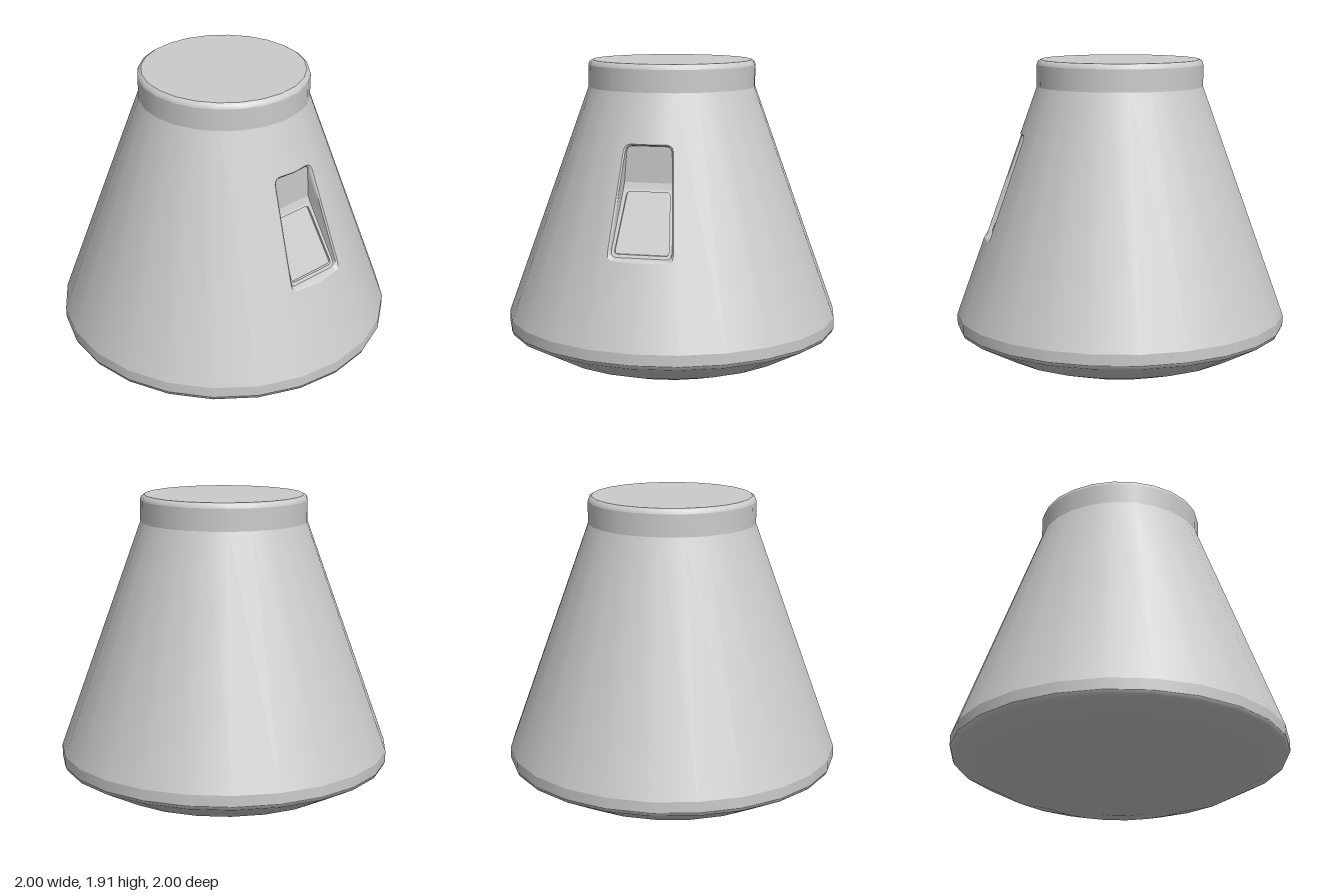
import * as THREE from 'three';
import { toCreasedNormals } from 'three/addons/utils/BufferGeometryUtils.js';

const V = (x, y) => new THREE.Vector2(x, y);
const STEP = Math.PI / 12; // 24-sided hull
const LOW = 0.37, HIGH = 1.75;
const ROWS = [1.215, 1.25]; // crease band across the recess floor

// cone radius, and depth of the two flat front facets
const radius = y => THREE.MathUtils.mapLinear(y, LOW, HIGH, 1, 0.5);
const hullZ = (x, y) => radius(y) - Math.abs(x) * (1 - Math.cos(STEP)) / Math.sin(STEP);

// recess floor: leaning lower part, short bend, upright upper part
function floorZ(x, y) {
  if (y <= ROWS[0]) return THREE.MathUtils.mapLinear(y, 0.86, ROWS[0], 0.775, 0.585);
  return THREE.MathUtils.mapLinear(Math.min(y, ROWS[1]), ROWS[0], ROWS[1], 0.585, 0.572);
}

// right half of a rounded trapezoid, bottom centre to top centre
function halfOutline(yb, yt, wb, wt, r, rows = []) {
  const width = y => THREE.MathUtils.mapLinear(y, yb, yt, wb, wt);
  const corner = (a, b, c) => new THREE.QuadraticBezierCurve(a, b, c).getPoints(5);
  return [
    V(0, yb),
    ...corner(V(wb - r, yb), V(wb, yb), V(width(yb + r), yb + r)),
    ...rows.map(y => V(width(y), y)),
    ...corner(V(width(yt - r), yt - r), V(wt, yt), V(wt - r, yt)),
    V(0, yt),
  ];
}

const mirrored = half => half.map(p => V(-p.x, p.y)).reverse();
const closed = half => [...half, ...mirrored(half).filter(p => p.x < 0)];

// flat outline pushed onto a depth rule
function sheet(points, depth, hole) {
  const shape = new THREE.Shape(points);
  if (hole) shape.holes.push(new THREE.Path(hole));
  const geo = new THREE.ShapeGeometry(shape);
  const p = geo.attributes.position;
  for (let i = 0; i < p.count; i++) p.setZ(i, depth(p.getX(i), p.getY(i)));
  geo.computeVertexNormals();
  return geo;
}

// walls joining closed rings, listed from outer to inner
function loft(rings) {
  const pos = [], index = [], n = rings[0].points.length;
  rings.forEach(({ points, depth }) => points.forEach(p => pos.push(p.x, p.y, depth(p.x, p.y))));
  for (let k = 0; k < rings.length - 1; k++) {
    for (let i = 0; i < n; i++) {
      const a = k * n + i, b = k * n + (i + 1) % n;
      index.push(a, b, b + n, a, b + n, a + n);
    }
  }
  const geo = new THREE.BufferGeometry();
  geo.setAttribute('position', new THREE.Float32BufferAttribute(pos, 3));
  geo.setIndex(index);
  return toCreasedNormals(geo, 0.8);
}

export function createModel() {
  const model = new THREE.Group();
  const material = new THREE.MeshStandardMaterial({ color: 0xcccccc });
  const add = (name, geo, parent = model) => {
    const mesh = new THREE.Mesh(geo, material);
    mesh.name = name;
    parent.add(mesh);
  };
  const lathe = (pts, segments = 24, start = 0, length = Math.PI * 2) =>
    new THREE.LatheGeometry(pts.map(p => V(...p)), segments, start, length);

  // turned body sections
  add('heatShield', lathe([[0, 0], [0.25, 0.018], [0.5, 0.07], [0.75, 0.155], [0.965, 0.27]]));
  add('baseEdge', lathe([[0.965, 0.27], [0.99, 0.283], [1, 0.305]]));
  add('baseBand', lathe([[1, 0.305], [1, LOW]]));
  add('coneHull', lathe([[1, LOW], [0.5, HIGH]], 22, STEP, Math.PI * 2 - 2 * STEP));
  add('collar', lathe([[0.5, HIGH], [0.5, 1.88]]));
  add('collarEdge', lathe([[0.5, 1.88], [0.494, 1.899], [0.477, 1.91]]));
  add('collarTop', lathe([[0.477, 1.91], [0, 1.91]]));

  // two front facets cut around the recess, shaded as part of the cone
  const rim = halfOutline(0.84, 1.47, 0.192, 0.142, 0.045, ROWS);
  const s = Math.sin(STEP);
  const facet = [V(0, LOW), V(s, LOW), V(s / 2, HIGH), V(0, HIGH), ...[...rim].reverse()];
  for (const [name, outline] of [['leftFrontHull', facet], ['rightFrontHull', mirrored(facet)]]) {
    const geo = sheet(outline, hullZ);
    const p = geo.attributes.position, normal = new THREE.Vector3();
    for (let i = 0; i < p.count; i++) {
      normal.set(p.getX(i), 0, p.getZ(i)).normalize().setY(0.5 / (HIGH - LOW)).normalize();
      geo.attributes.normal.setXYZ(i, normal.x, normal.y, normal.z);
    }
    add(name, geo);
  }

  // window recess: bevelled rim and walls
  const recess = new THREE.Group();
  recess.name = 'windowRecess';
  model.add(recess);
  const lip = halfOutline(0.85, 1.462, 0.181, 0.133, 0.04, ROWS);
  const foot = halfOutline(0.856, 1.458, 0.176, 0.129, 0.036, ROWS);
  add('recessWalls', loft([
    { points: closed(rim), depth: hullZ },
    { points: closed(lip), depth: (x, y) => hullZ(x, y) - 0.008 },
    { points: closed(foot), depth: floorZ },
  ]), recess);

  // recess floor in three strips, the lowest framing the window
  const pane = closed(halfOutline(0.873, 1.2, 0.157, 0.125, 0.02));
  const strip = (lo, hi) => {
    const side = foot.filter(p => p.y >= lo && p.y <= hi);
    return [...side, ...mirrored(side)].filter((p, i, all) => !i || !p.equals(all[i - 1]));
  };
  add('windowFrame', sheet(strip(0, ROWS[0]), floorZ, pane), recess);
  add('recessBend', sheet(strip(...ROWS), floorZ), recess);
  add('recessUpperFloor', sheet(strip(ROWS[1], 2), floorZ), recess);

  // sunken window pane
  const paneZ = (x, y) => floorZ(x, y) - 0.015;
  add('windowStep', loft([{ points: pane, depth: floorZ }, { points: pane, depth: paneZ }]), recess);
  add('windowPane', sheet(pane, paneZ), recess);

  return model;
}
